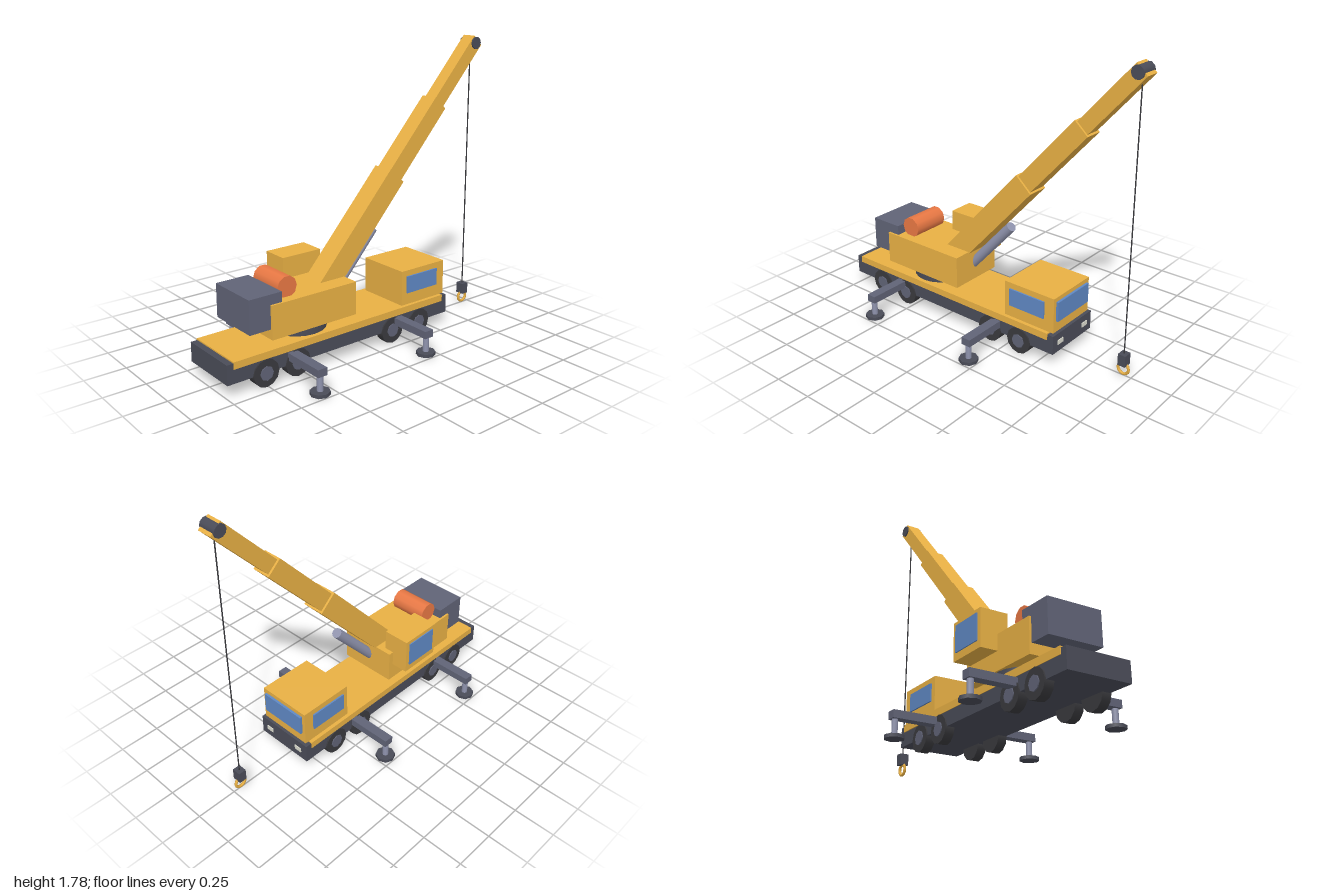
import * as THREE from 'three';

const mat = (color) => new THREE.MeshStandardMaterial({ color });
const yellow = mat(0xe8b044), dark = mat(0x4a4c58), slate = mat(0x606376), steel = mat(0x9094ae);
const rubber = mat(0x3a3a3e), glass = mat(0x5f88c4), orange = mat(0xe87844), lamp = mat(0xdcdcd0);

export function createModel() {
  const model = new THREE.Group();
  model.name = 'mobileCrane';

  const add = (name, geometry, material, x = 0, y = 0, z = 0) => {
    const mesh = new THREE.Mesh(geometry, material);
    mesh.name = name;
    mesh.position.set(x, y, z);
    model.add(mesh);
    return mesh;
  };
  // box given by its limits on each axis
  const box = (name, m, [x0, x1], [y0, y1], [z0, z1]) =>
    add(name, new THREE.BoxGeometry(x1 - x0, y1 - y0, z1 - z0), m,
      (x0 + x1) / 2, (y0 + y1) / 2, (z0 + z1) / 2);
  const post = (name, m, r, x, y0, y1, z, sides) =>
    add(name, new THREE.CylinderGeometry(r, r, y1 - y0, sides), m, x, (y0 + y1) / 2, z);
  // cylinder lying along x
  const axle = (name, m, r, width, x, y, z, sides) => {
    const mesh = add(name, new THREE.CylinderGeometry(r, r, width, sides), m, x, y, z);
    mesh.rotation.z = Math.PI / 2;
    return mesh;
  };

  // carrier
  box('chassis', dark, [-0.19, 0.19], [0.08, 0.197], [-0.6, 1]);
  box('deck', yellow, [-0.195, 0.195], [0.163, 0.205], [-0.56, 0.96]);
  box('driverCab', yellow, [-0.172, 0.172], [0.205, 0.423], [-0.587, -0.24]);
  box('windscreen', glass, [-0.15, 0.15], [0.275, 0.397], [-0.602, -0.58]);
  for (const s of [-1, 1]) {
    add('sideWindow', new THREE.BoxGeometry(0.02, 0.107, 0.245), glass, s * 0.172, 0.333, -0.4);
    add('headlight', new THREE.BoxGeometry(0.05, 0.028, 0.01), lamp, s * 0.12, 0.14, -0.6);

    // wheels
    for (const z of [0.76, 0.55, -0.145, -0.36]) {
      axle('wheel', rubber, 0.082, 0.056, s * 0.17, 0.082, z, 12);
      axle('hub', slate, 0.042, 0.012, s * 0.198, 0.082, z, 8);
    }

    // outriggers
    for (const z of [0.585, -0.19]) {
      add('outriggerBeam', new THREE.BoxGeometry(0.3, 0.045, 0.06), slate, s * 0.315, 0.133, z);
      post('outriggerLeg', steel, 0.018, s * 0.44, 0.02, 0.12, z, 8);
      post('outriggerPad', dark, 0.058, s * 0.44, 0, 0.02, z, 8);
    }
  }

  // slewing upper works
  post('turntable', dark, 0.17, 0, 0.2, 0.252, 0.415, 20);
  box('upperBody', yellow, [-0.18, 0.18], [0.25, 0.45], [0.125, 0.705]);
  box('counterweight', slate, [-0.167, 0.167], [0.31, 0.51], [0.63, 0.84]);
  box('operatorCab', yellow, [-0.285, -0.118], [0.357, 0.578], [0.158, 0.425]);
  box('operatorWindow', glass, [-0.292, -0.28], [0.4, 0.555], [0.185, 0.4]);
  axle('winchDrum', orange, 0.065, 0.24, 0, 0.505, 0.563, 10);

  // telescopic boom: each section runs along the axis between two distances
  const tilt = THREE.MathUtils.degToRad(48);
  const boom = new THREE.Group();
  boom.name = 'boom';
  boom.position.set(0, 0.993, -0.282);
  boom.rotation.x = tilt;
  model.add(boom);
  for (const [w, from, to] of [[0.14, -0.81, 0], [0.115, -0.1, 0.538], [0.09, 0.44, 1.025]]) {
    const mesh = new THREE.Mesh(new THREE.BoxGeometry(w, w * 0.98, to - from), yellow);
    mesh.name = 'boomSection';
    mesh.position.z = -(from + to) / 2;
    boom.add(mesh);
  }

  // lifting ram, parallel to the boom
  const ram = add('liftRam', new THREE.CylinderGeometry(0.031, 0.031, 0.52, 12), steel, 0, 0.482, 0.026);
  ram.rotation.x = tilt - Math.PI / 2;

  // sheave, cable and hook
  const tipZ = -0.948;
  axle('sheave', dark, 0.038, 0.108, 0, 1.738, tipZ, 10);
  post('cable', rubber, 0.004, 0, 0.13, 1.738, tipZ, 6);
  add('hookBlock', new THREE.BoxGeometry(0.055, 0.07, 0.048), dark, 0, 0.105, tipZ);
  const hook = add('hook', new THREE.TorusGeometry(0.034, 0.009, 6, 12), yellow, 0, 0.043, tipZ);
  hook.rotation.y = Math.PI / 2;

  return model;
}
